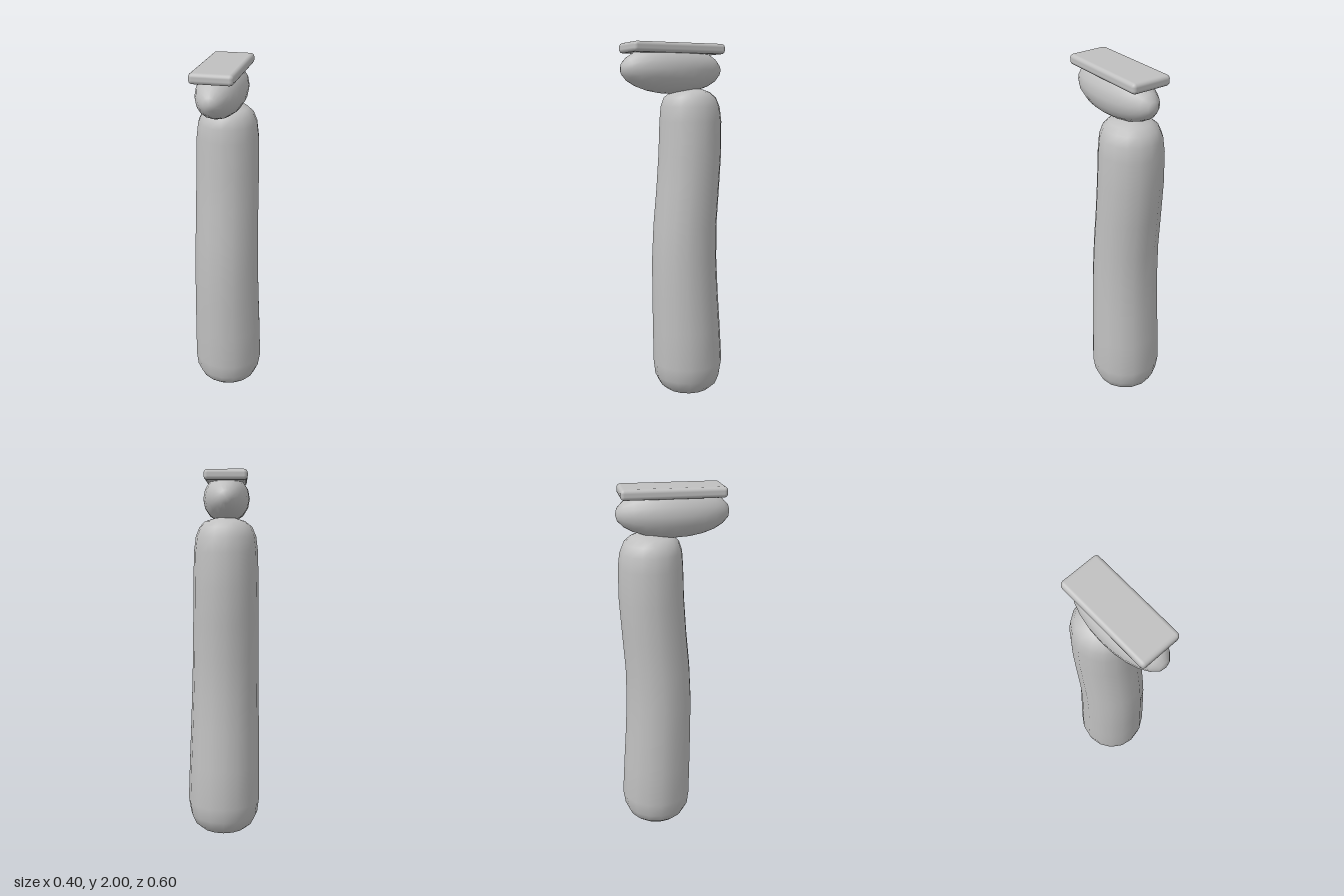
import * as THREE from 'three';
import { RoundedBoxGeometry } from 'three/addons/geometries/RoundedBoxGeometry.js';

// Joins elliptical cross-sections [y, x min, x max, z min, z max], bottom to top
function loft(sections, sides) {
  const pos = [], index = [];
  for (const [y, x0, x1, z0, z1] of sections) {
    for (let i = 0; i < sides; i++) {
      const a = (i / sides) * Math.PI * 2;
      pos.push((x0 + x1) / 2 + Math.cos(a) * (x1 - x0) / 2, y,
        (z0 + z1) / 2 + Math.sin(a) * (z1 - z0) / 2);
    }
  }
  for (let r = 0; r < sections.length - 1; r++) {
    for (let i = 0; i < sides; i++) {
      const j = (i + 1) % sides;
      const a = r * sides + i, b = r * sides + j;
      index.push(a, a + sides, b, b, a + sides, b + sides);
    }
  }
  // End caps
  const top = (sections.length - 1) * sides;
  for (let i = 1; i < sides - 1; i++) {
    index.push(0, i, i + 1, top, top + i + 1, top + i);
  }
  const geo = new THREE.BufferGeometry();
  geo.setAttribute('position', new THREE.Float32BufferAttribute(pos, 3));
  geo.setIndex(index);
  geo.computeVertexNormals();
  return geo;
}

export function createModel() {
  const group = new THREE.Group();
  const grey = new THREE.MeshStandardMaterial({ color: 0xc0c0c0 });
  grey.name = 'grey';

  const add = (name, geometry) => {
    const mesh = new THREE.Mesh(geometry, grey);
    mesh.name = name;
    group.add(mesh);
    return mesh;
  };

  // Gently S-curved column with rounded ends
  add('column', loft([
    [0.0, -0.02, 0.02, -0.12, -0.08],
    [0.012, -0.08, 0.08, -0.18, -0.02],
    [0.03, -0.13, 0.13, -0.23, 0.03],
    [0.06, -0.165, 0.165, -0.265, 0.065],
    [0.11, -0.19, 0.187, -0.288, 0.09],
    [0.19, -0.2, 0.2, -0.3, 0.1],
    [0.4, -0.198, 0.193, -0.288, 0.103],
    [0.6, -0.196, 0.185, -0.275, 0.105],
    [0.8, -0.193, 0.178, -0.265, 0.105],
    [1.0, -0.19, 0.172, -0.266, 0.095],
    [1.2, -0.188, 0.168, -0.28, 0.076],
    [1.4, -0.187, 0.165, -0.293, 0.062],
    [1.58, -0.183, 0.16, -0.293, 0.056],
    [1.66, -0.173, 0.15, -0.283, 0.05],
    [1.71, -0.152, 0.13, -0.262, 0.034],
    [1.74, -0.115, 0.1, -0.225, 0.0],
    [1.757, -0.06, 0.045, -0.18, -0.07],
    [1.762, -0.02, 0.01, -0.14, -0.11],
  ], 16));

  // Egg-shaped block with its poles at front and back
  const cushion = add('cushion', new THREE.SphereGeometry(1, 16, 12).rotateX(Math.PI / 2));
  cushion.scale.set(0.127, 0.13, 0.3);
  cushion.position.set(-0.012, 1.86, 0);

  // Flat top plate with softened edges
  const plate = add('topPlate', new RoundedBoxGeometry(0.225, 0.055, 0.546, 2, 0.02));
  plate.position.set(-0.012, 1.9725, -0.006);

  return group;
}
